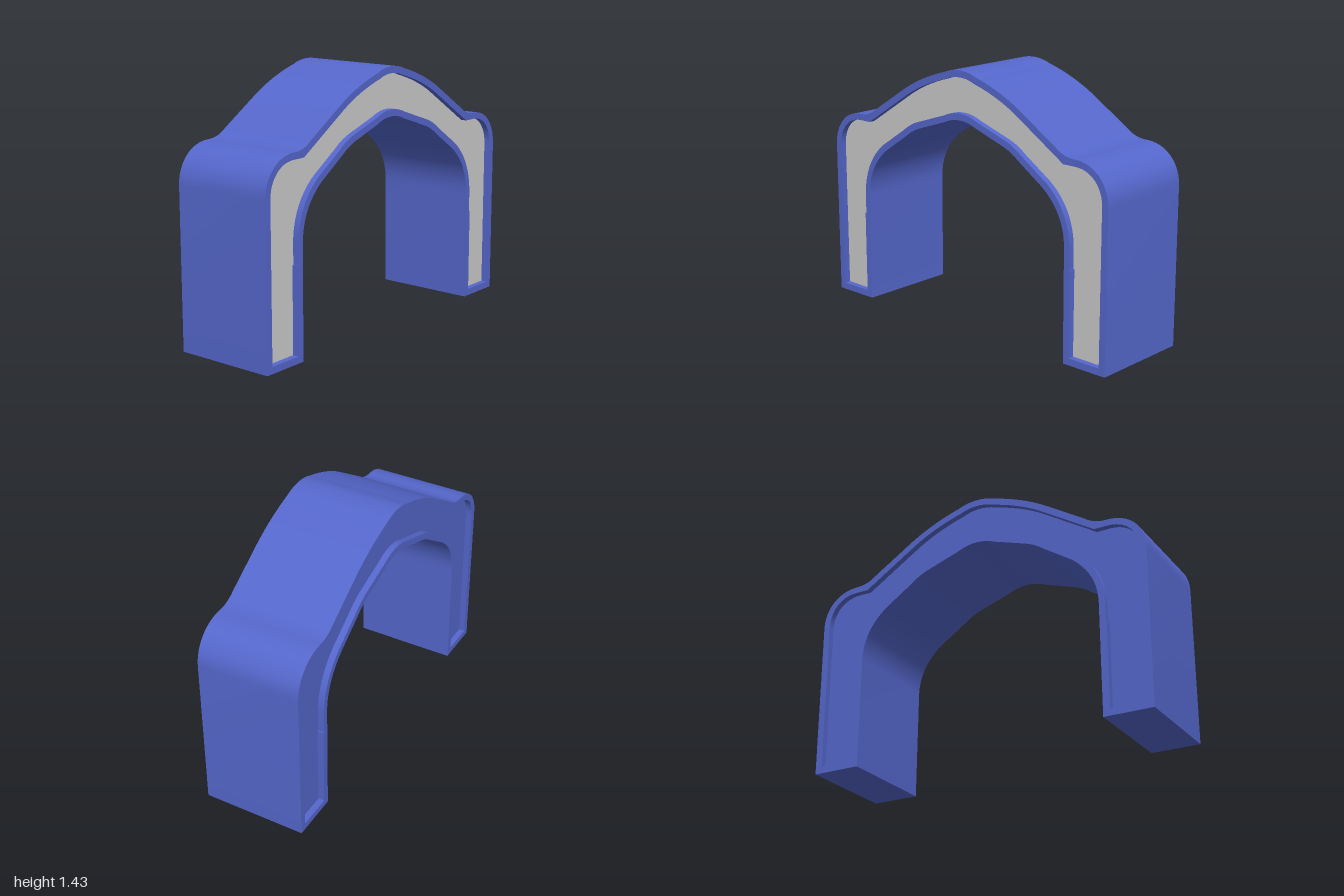
import * as THREE from 'three';
import { toCreasedNormals } from 'three/addons/utils/BufferGeometryUtils.js';

const HALF_DEPTH = 0.292;
const RECESS = 0.035;

// Full closed outline from its +x half, which runs from one apex point to the other
function mirrored(half) {
  const right = half.getPoints(12);
  const left = right.slice(1, -1).reverse().map((p) => new THREE.Vector2(-p.x, p.y));
  return [...right, ...left];
}

// Outer silhouette: opening edge, foot, shoulder, roof
function bodyOutline() {
  const p = new THREE.Path();
  p.moveTo(0, 1.166);
  p.quadraticCurveTo(0.06, 1.166, 0.11, 1.142);
  p.lineTo(0.31, 1.075);
  p.quadraticCurveTo(0.365, 1.055, 0.41, 1.02);
  p.lineTo(0.575, 0.91);
  p.bezierCurveTo(0.675, 0.835, 0.725, 0.735, 0.725, 0.62);
  p.lineTo(0.728, 0);
  p.lineTo(1, 0);
  p.lineTo(1, 0.88);
  p.bezierCurveTo(1, 1.0, 0.91, 1.088, 0.79, 1.088);
  p.quadraticCurveTo(0.715, 1.086, 0.66, 1.13);
  p.lineTo(0.417, 1.283);
  p.quadraticCurveTo(0.28, 1.365, 0.11, 1.412);
  p.quadraticCurveTo(0.06, 1.433, 0, 1.433);
  return mirrored(p);
}

// Edge of the sunken face inside the rim
function panelOutline() {
  const p = new THREE.Path();
  p.moveTo(0, 1.203);
  p.quadraticCurveTo(0.06, 1.203, 0.115, 1.178);
  p.lineTo(0.32, 1.11);
  p.quadraticCurveTo(0.38, 1.09, 0.43, 1.05);
  p.lineTo(0.6, 0.938);
  p.bezierCurveTo(0.705, 0.86, 0.759, 0.745, 0.759, 0.62);
  p.lineTo(0.759, 0.51);
  p.lineTo(0.766, 0.51);
  p.lineTo(0.766, 0.038);
  p.lineTo(0.962, 0.038);
  p.lineTo(0.962, 0.88);
  p.bezierCurveTo(0.962, 0.98, 0.89, 1.052, 0.79, 1.052);
  p.lineTo(0.712, 1.052);
  p.lineTo(0.4, 1.25);
  p.quadraticCurveTo(0.27, 1.33, 0.1, 1.376);
  p.quadraticCurveTo(0.055, 1.396, 0, 1.396);
  return mirrored(p);
}

export function createModel() {
  const group = new THREE.Group();
  group.name = 'archway';
  const blue = new THREE.MeshStandardMaterial({ color: 0x5567cc });
  const grey = new THREE.MeshStandardMaterial({ color: 0xcccccc });

  // Arch shell with a raised rim on both faces
  const shellShape = new THREE.Shape(bodyOutline());
  shellShape.holes.push(new THREE.Path(panelOutline()));
  const shellGeometry = new THREE.ExtrudeGeometry(shellShape, {
    depth: HALF_DEPTH * 2,
    bevelEnabled: false,
  });
  shellGeometry.translate(0, 0, -HALF_DEPTH);
  const shell = new THREE.Mesh(toCreasedNormals(shellGeometry, 0.5), blue);
  shell.name = 'archShell';
  group.add(shell);

  // Sunken faces: grey at the front, blue at the back
  const panelGeometry = new THREE.ShapeGeometry(new THREE.Shape(panelOutline()));
  const frontPanel = new THREE.Mesh(panelGeometry, grey);
  frontPanel.name = 'frontPanel';
  frontPanel.position.z = HALF_DEPTH - RECESS;
  const backPanel = new THREE.Mesh(panelGeometry, blue);
  backPanel.name = 'backPanel';
  backPanel.position.z = -(HALF_DEPTH - RECESS);
  backPanel.rotation.y = Math.PI;
  group.add(frontPanel, backPanel);

  return group;
}
